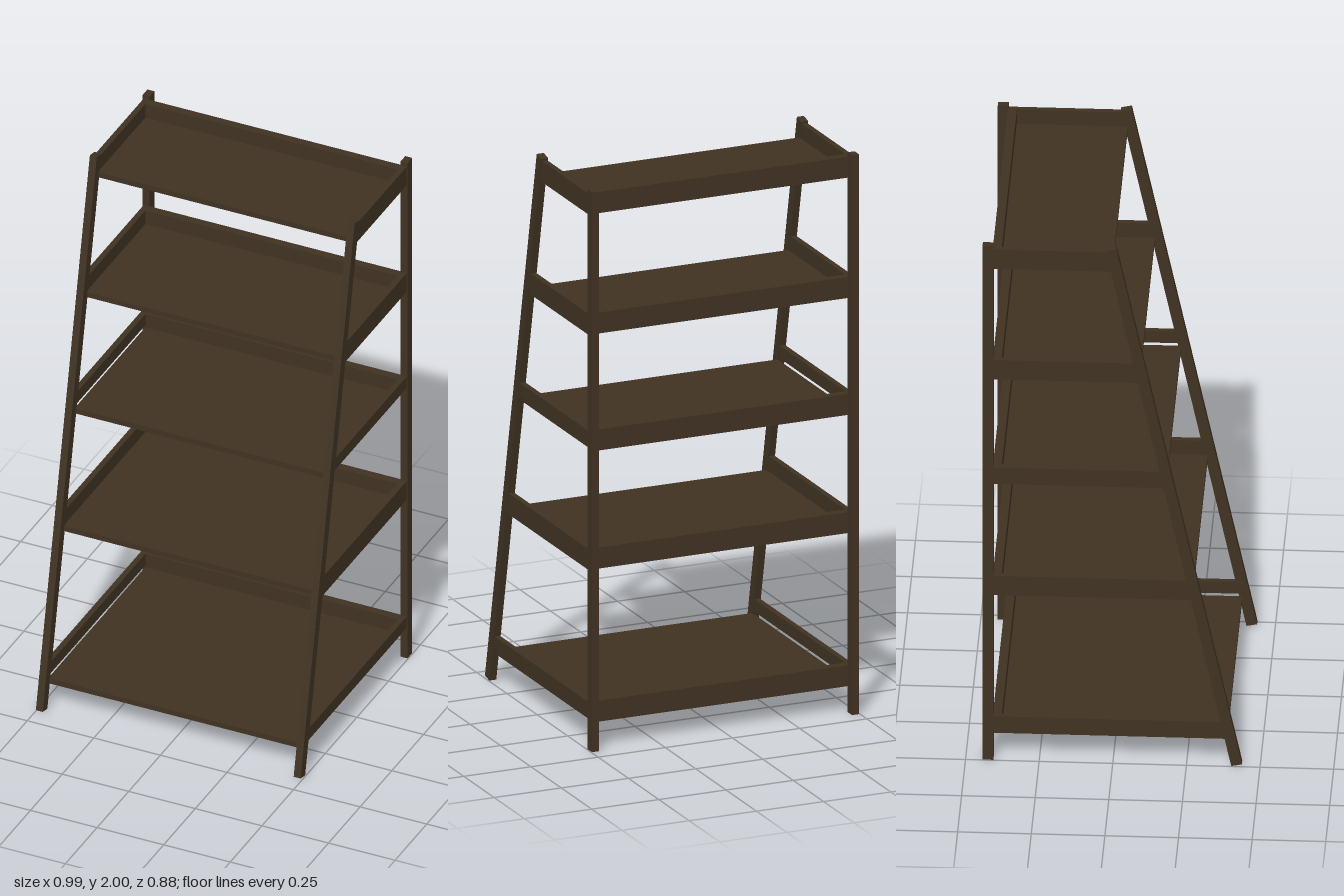
import * as THREE from 'three';

export function createModel() {
  const root = new THREE.Group();
  root.name = 'ladderShelf';
  const wood = new THREE.MeshStandardMaterial({ color: 0x3f3222 });

  function add(geometry, name, x, y, z, parent = root) {
    const mesh = new THREE.Mesh(geometry, wood);
    mesh.name = name;
    mesh.position.set(x, y, z);
    parent.add(mesh);
    return mesh;
  }

  const legX = 0.484, legW = 0.026, legD = 0.037;
  const backZ = -0.424;
  const footZ = 0.421, headZ = -0.007;
  const frontZ = y => footZ + (headZ - footZ) * y / 2;
  const lean = Math.atan2(headZ - footZ, 2);

  // Upright back legs and leaning front legs
  for (const side of [1, -1]) {
    add(new THREE.BoxGeometry(legW, 2, legD), 'backLeg', side * legX, 1, backZ);
    const length = (2 - legD * Math.sin(-lean)) / Math.cos(lean);
    const leg = add(new THREE.BoxGeometry(legW, length, legD), 'frontLeg', side * legX, 1, frontZ(1));
    leg.rotation.x = lean;
  }

  // Side rail with its front end cut along the leaning leg
  function railGeometry(y0, y1) {
    const shape = new THREE.Shape();
    shape.moveTo(backZ, y0);
    shape.lineTo(frontZ(y0), y0);
    shape.lineTo(frontZ(y1), y1);
    shape.lineTo(backZ, y1);
    shape.closePath();
    const geometry = new THREE.ExtrudeGeometry(shape, { depth: 0.02, bevelEnabled: false });
    geometry.translate(0, 0, -0.01);
    geometry.rotateY(-Math.PI / 2);
    return geometry;
  }

  // Shelves: bottom height, and how far the side rails sit above it
  const shelves = [[0.093, 0.03], [0.64, 0], [1.062, 0.03], [1.48, 0], [1.91, 0]];
  const plateT = 0.02, height = 0.075, shelfBack = -0.408;
  for (const [y, lift] of shelves) {
    const shelf = new THREE.Group();
    shelf.name = 'shelf';
    root.add(shelf);
    const front = frontZ(y) - 0.014;
    add(new THREE.BoxGeometry(0.95, plateT, front - shelfBack), 'shelfBoard',
      0, y + plateT / 2, (front + shelfBack) / 2, shelf);
    add(new THREE.BoxGeometry(0.95, height - plateT, 0.03), 'backRail',
      0, y + (height + plateT) / 2, shelfBack + 0.015, shelf);
    for (const side of [1, -1]) {
      add(railGeometry(y + lift, y + height), 'sideRail', side * legX, 0, 0, shelf);
    }
  }
  return root;
}
